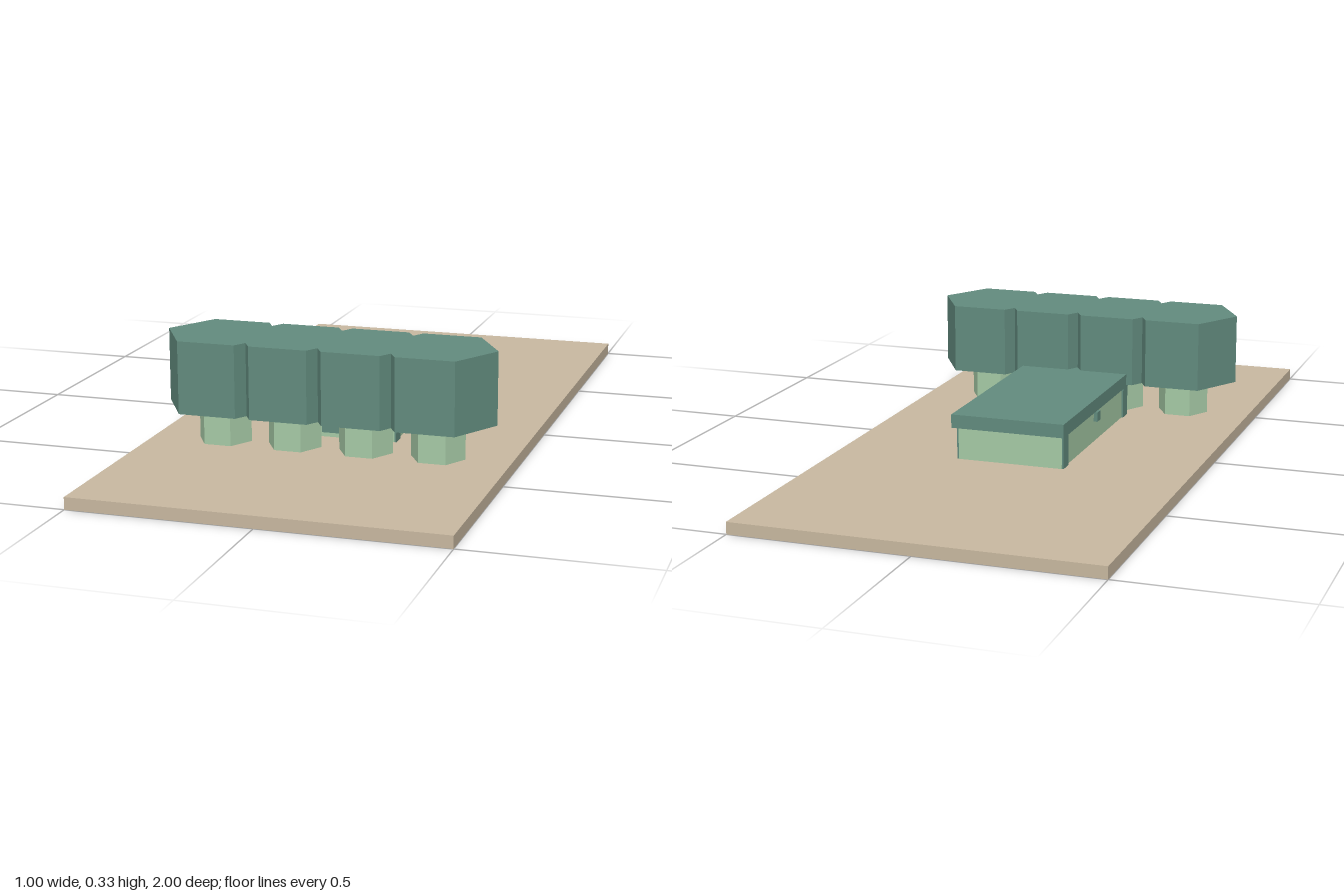
import * as THREE from 'three';

export function createModel() {
  const model = new THREE.Group();
  const material = (name, color) => {
    const m = new THREE.MeshStandardMaterial({ color });
    m.name = name;
    return m;
  };
  const sand = material('sand', 0xc8b8a0);
  const teal = material('teal', 0x628b7e);
  const paleGreen = material('pale green', 0xa6caa6);

  const add = (name, geometry, mat, x, y, z) => {
    const mesh = new THREE.Mesh(geometry, mat);
    mesh.name = name;
    mesh.position.set(x, y, z);
    model.add(mesh);
    return mesh;
  };
  // Box given by its size, centre in x and z, and its lowest height
  const box = (name, mat, w, h, d, x, y, z) =>
    add(name, new THREE.BoxGeometry(w, h, d), mat, x, y + h / 2, z);

  const ground = 0.033;
  const blockZ = 0.4;
  const centres = [-0.3, -0.1, 0.1, 0.3];

  box('basePlate', sand, 1, ground, 2, 0, 0, 0);

  // Hexagonal stems under the upper block
  const prism = (r, h) => {
    const g = new THREE.CylinderGeometry(r, r, h, 6).toNonIndexed();
    g.rotateY(Math.PI / 6 + Math.PI / 3);
    g.computeVertexNormals();
    return g;
  };
  centres.forEach((x) => add('hexColumn', prism(0.075, 0.1), paleGreen, x, ground + 0.05, blockZ));

  // Upper block: the joined outline of four overlapping hexagons
  const R = 0.16;
  const flat = R * Math.sqrt(3) / 2;
  const notch = flat * 0.75;
  const side = [];
  centres.forEach((x, i) => {
    side.push([x - R / 2, flat], [x + R / 2, flat]);
    if (i < 3) side.push([x + 0.1, notch]);
  });
  const outline = [
    [-0.3 - R, 0],
    ...side.map(([x, y]) => [x, -y]),
    [0.3 + R, 0],
    ...side.slice().reverse(),
  ].map(([x, y]) => new THREE.Vector2(x, y));
  const block = new THREE.ExtrudeGeometry(new THREE.Shape(outline), { depth: 0.2, bevelEnabled: false });
  block.rotateX(-Math.PI / 2);
  add('hexBlock', block, teal, 0, 0.133, blockZ);

  // Low hall with an overhanging flat roof
  box('hallWalls', paleGreen, 0.3, 0.095, 0.6, 0, ground, 0);
  box('hallRoof', teal, 0.325, 0.038, 0.645, 0, 0.127, 0);

  // Corner strips and a small lamp on each long wall
  for (const s of [-1, 1]) {
    for (const z of [-0.278, 0.278]) {
      box('cornerStrip', teal, 0.008, 0.094, 0.042, s * 0.151, ground, z);
    }
    box('wallLamp', teal, 0.02, 0.027, 0.03, s * 0.151, 0.092, 0);
  }

  // Entrance panel and the lintel above it
  box('entrancePanel', teal, 0.1, 0.054, 0.004, 0, 0.051, 0.32);
  box('entranceLintel', sand, 0.1, 0.02, 0.004, 0, 0.105, 0.301);

  return model;
}
